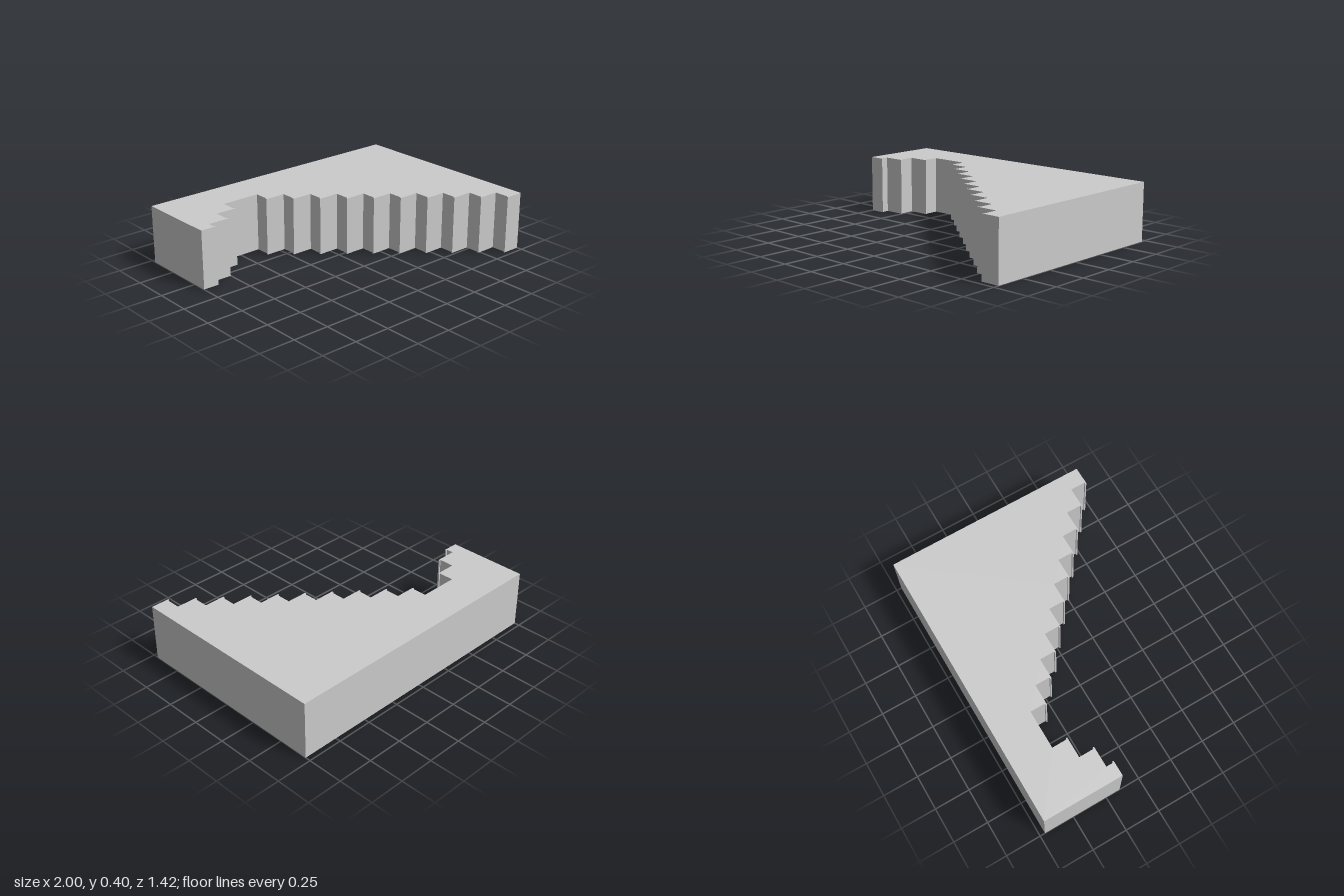
import * as THREE from 'three';

const HEIGHT = 0.4, LIP = 0.01, STEP_X = 0.1367, STEP_Z = 0.1146;
const BACK = -0.714, NOTCH = -0.435;

// Plan outline as [x, z] points, walked from the back left corner
function planOutline() {
  const pts = [[-1, BACK], [-1, -0.147]];

  // Short flight on the -x side, climbing into the notch
  const ends = [-0.147, NOTCH + 2 * STEP_Z, NOTCH + STEP_Z, NOTCH];
  for (let i = 0; i < 3; i++) {
    const x = -0.9 + i * 0.1385, z = ends[i];
    pts.push([x + LIP, z], [x + LIP, z - LIP], [x, z - LIP], [x, ends[i + 1]]);
  }

  // Long flight on the +x side, each riser with a small nosing lip
  for (let i = 0; i < 10; i++) {
    const x = -0.35 + i * STEP_X, z = NOTCH + i * STEP_Z, next = z + STEP_Z;
    pts.push([x, z], [x, next - LIP], [x - LIP, next - LIP], [x - LIP, next]);
  }
  pts.push([1, NOTCH + 10 * STEP_Z], [1, BACK]);
  return pts;
}

export function createModel() {
  const group = new THREE.Group();
  group.name = 'steppedBlock';

  const shape = new THREE.Shape(planOutline().map(([x, z]) => new THREE.Vector2(x, -z)));
  const geometry = new THREE.ExtrudeGeometry(shape, { depth: HEIGHT, bevelEnabled: false });
  geometry.rotateX(-Math.PI / 2);

  const slab = new THREE.Mesh(
    geometry,
    new THREE.MeshStandardMaterial({ color: 0xcccccc, flatShading: true })
  );
  slab.name = 'steppedSlab';
  group.add(slab);
  return group;
}
